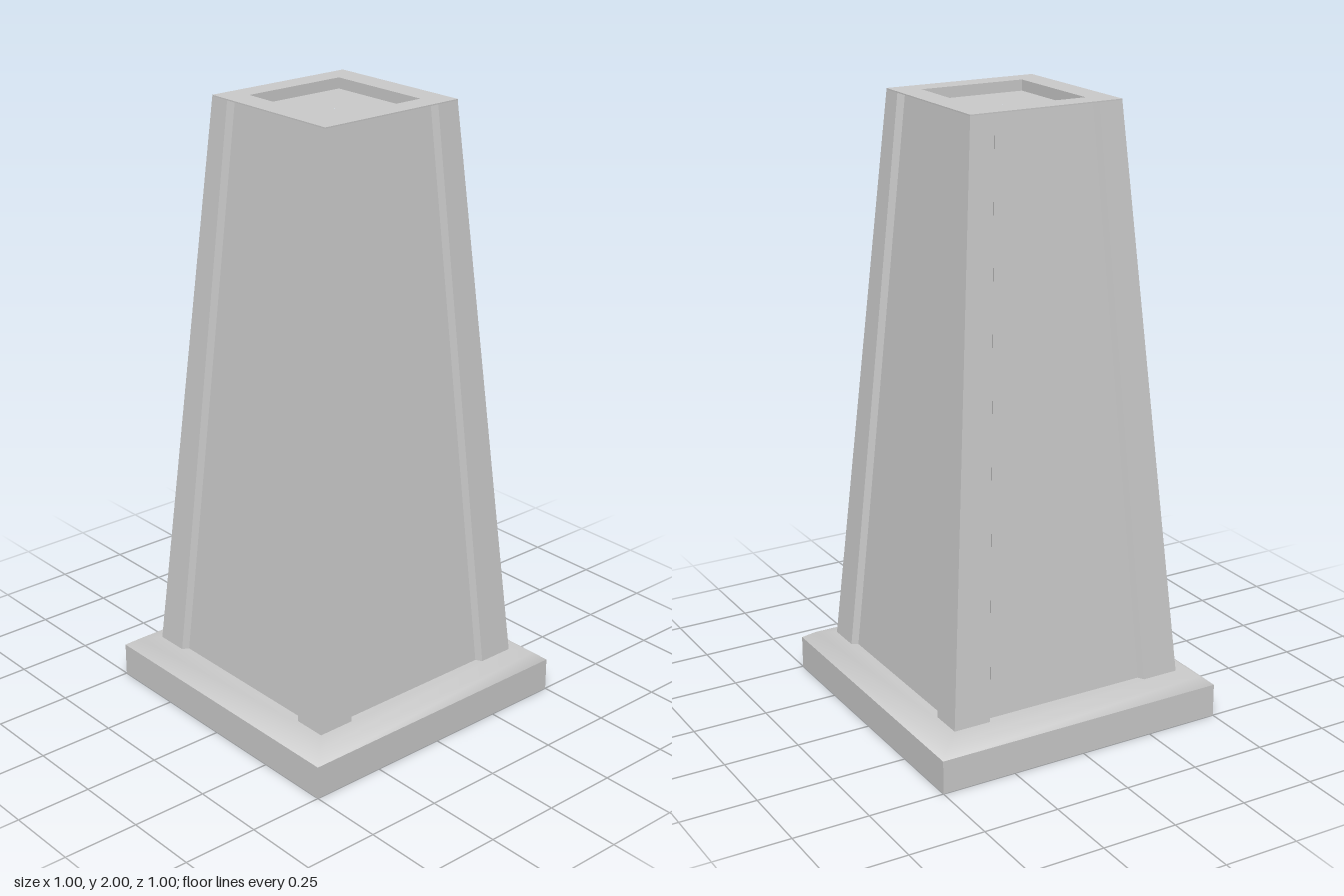
import * as THREE from 'three';
import { toCreasedNormals } from 'three/addons/utils/BufferGeometryUtils.js';

const material = new THREE.MeshStandardMaterial({ color: 0xcccccc });

// Skins a list of rings { y, pts: [[x, z], ...] } with flat faces.
function loft(rings) {
  const pos = [];
  for (let r = 0; r < rings.length - 1; r++) {
    const a = rings[r], b = rings[r + 1], n = a.pts.length;
    for (let i = 0; i < n; i++) {
      const j = (i + 1) % n;
      const v = (ring, k) => [ring.pts[k][0], ring.y, ring.pts[k][1]];
      pos.push(...v(a, i), ...v(a, j), ...v(b, j), ...v(a, i), ...v(b, j), ...v(b, i));
    }
  }
  const g = new THREE.BufferGeometry();
  g.setAttribute('position', new THREE.Float32BufferAttribute(pos, 3));
  g.computeVertexNormals();
  return g;
}

// Rectangular ring of half sizes hx, hz.
const rect = (y, hx, hz = hx) => ({ y, pts: [[-hx, hz], [hx, hz], [hx, -hz], [-hx, -hz]] });

// Square ring with a shallow recess on each side, leaving corner posts.
function recessedSquare(y, outer, panelX, panelZ, depth) {
  const pts = [];
  for (let side = 0; side < 4; side++) {
    const s = side % 2 ? panelZ : panelX;
    const inner = s - depth * 0.6;
    let run = [[-outer, outer], [-s, outer], [-inner, outer - depth], [inner, outer - depth], [s, outer]];
    for (let k = 0; k < side; k++) run = run.map(([x, z]) => [z, -x]);
    pts.push(...run);
  }
  return { y, pts };
}

export function createModel() {
  const group = new THREE.Group();
  const add = (name, geometry) => {
    const mesh = new THREE.Mesh(geometry, material);
    mesh.name = name;
    group.add(mesh);
  };

  // Square plinth with a softly domed top
  add('plinth', toCreasedNormals(loft([
    rect(0, 0.001), rect(0, 0.5), rect(0.11, 0.5),
    rect(0.135, 0.465), rect(0.145, 0.41), rect(0.147, 0.3),
  ]), 0.9));

  // Tapered shaft with corner posts and sunken panels
  add('shaft', loft([
    recessedSquare(0.14, 0.411, 0.3, 0.287, 0.02),
    recessedSquare(1.996, 0.26, 0.188, 0.18, 0.02),
  ]));

  // Thin top rim with a shallow rectangular well
  add('topRim', loft([
    rect(1.996, 0.22), rect(1.996, 0.26), rect(2, 0.26),
    rect(2, 0.185, 0.178), rect(1.965, 0.185, 0.178), rect(1.965, 0.001),
  ]));

  return group;
}
